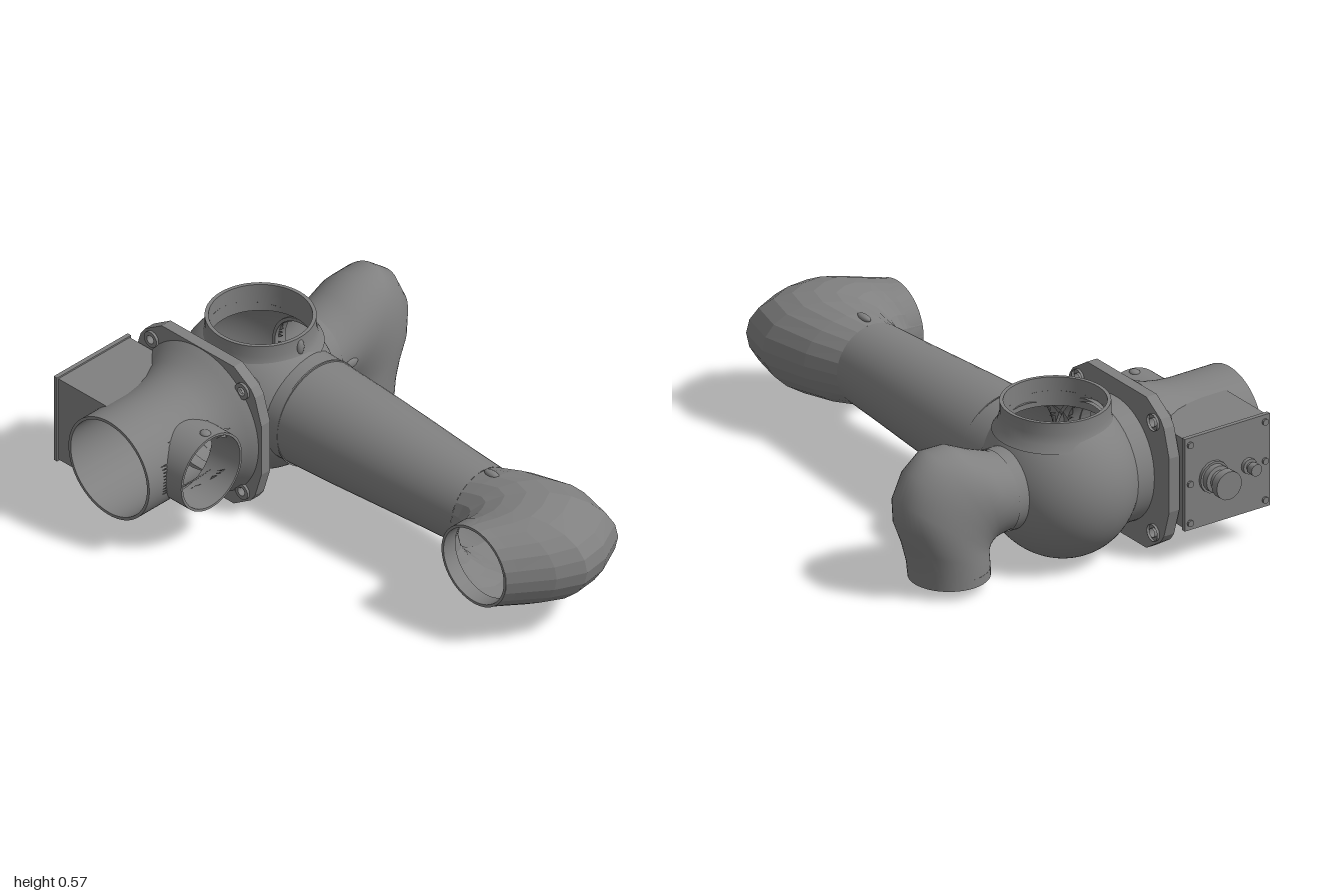
import * as THREE from 'three';
import { toCreasedNormals } from 'three/addons/utils/BufferGeometryUtils.js';

const casing = new THREE.MeshStandardMaterial({ color: 0x808080, side: THREE.DoubleSide });
casing.name = 'casing grey';

const CX = -0.565; // x of the base and shoulder axis
const CY = 0.29; // height of the arm axis

export function createModel() {
  const model = new THREE.Group();
  model.name = 'robotArmCasing';

  const add = (name, geo, x = 0, y = 0, z = 0) => {
    const mesh = new THREE.Mesh(geo, casing);
    mesh.name = name;
    mesh.position.set(x, y, z);
    model.add(mesh);
    return mesh;
  };

  // Turned part from [radius, height] pairs, with its axis along x, y or z
  const turned = (axis, pts, segs = 56) => {
    const geo = new THREE.LatheGeometry(pts.map(p => new THREE.Vector2(...p)), segs);
    if (axis === 'z') geo.rotateX(Math.PI / 2);
    if (axis === 'x') geo.rotateZ(-Math.PI / 2);
    return toCreasedNormals(geo, 0.6);
  };

  // Open pipe with a visible wall
  const pipe = (axis, r, wall, a, b) =>
    turned(axis, [[r, a], [r, b], [r - wall, b], [r - wall, a]]);

  const solid = (axis, r, a, b, segs = 20) =>
    turned(axis, [[0, a], [r, a], [r, b], [0, b]], segs);

  // Remove the triangles whose centre lies inside an opening
  const cut = (geo, inside) => {
    const src = geo.index ? geo.toNonIndexed() : geo;
    const p = src.attributes.position, n = src.attributes.normal;
    const pos = [], nor = [];
    for (let i = 0; i < p.count; i += 3) {
      const mid = [0, 1, 2].map(k => (p.getComponent(i, k) + p.getComponent(i + 1, k) + p.getComponent(i + 2, k)) / 3);
      if (inside(...mid)) continue;
      for (let j = i; j < i + 3; j++) {
        pos.push(p.getX(j), p.getY(j), p.getZ(j));
        nor.push(n.getX(j), n.getY(j), n.getZ(j));
      }
    }
    const out = new THREE.BufferGeometry();
    out.setAttribute('position', new THREE.Float32BufferAttribute(pos, 3));
    out.setAttribute('normal', new THREE.Float32BufferAttribute(nor, 3));
    return out;
  };

  // Loft of elliptical rings: [inner u, inner v, outer u, outer v, half width]
  const loft = (rings, place, segs, faceted = false) => {
    const pos = [], idx = [];
    rings.forEach(([iu, iv, ou, ov, w], r) => {
      for (let s = 0; s < segs; s++) {
        const t = (s / segs) * Math.PI * 2, c = Math.cos(t) / 2;
        pos.push(...place((iu + ou) / 2 + (ou - iu) * c, (iv + ov) / 2 + (ov - iv) * c, w * Math.sin(t)));
        if (r === 0) continue;
        const a = (r - 1) * segs + s, b = (r - 1) * segs + (s + 1) % segs;
        idx.push(a, b, a + segs, b, b + segs, a + segs);
      }
    });
    let geo = new THREE.BufferGeometry();
    geo.setAttribute('position', new THREE.Float32BufferAttribute(pos, 3));
    geo.setIndex(idx);
    if (faceted) geo = geo.toNonIndexed();
    geo.computeVertexNormals();
    return geo;
  };

  // Base: flared pipe, open at the front and into the side port
  add('baseTube', cut(turned('z', [
    [0.18, 0.3], [0.18, 0.685], [0.191, 0.685], [0.191, 0.62], [0.191, 0.56], [0.191, 0.5], [0.196, 0.44],
    [0.207, 0.38], [0.228, 0.32], [0.258, 0.28], [0.278, 0.25],
  ], 96), (x, y, z) => x > 0 && Math.hypot(y, z - 0.458) < 0.135), CX, 0.295);
  add('basePort', pipe('x', 0.145, 0.009, -0.44, -0.305), 0, 0.295, 0.458);

  // Mounting flange with cut corners and bolt holes
  const flange = new THREE.Shape();
  const quarter = [[0.3, 0.1], [0.27, 0.2], [0.25, 0.228], [0.17, 0.28]];
  const outline = [
    ...quarter,
    ...quarter.map(([x, y]) => [-x, y]).reverse(),
    ...quarter.map(([x, y]) => [-x, -y]),
    ...quarter.map(([x, y]) => [x, -y]).reverse(),
  ];
  flange.setFromPoints(outline.map(p => new THREE.Vector2(...p)));
  flange.holes.push(new THREE.Path().absarc(0, 0, 0.215, 0, Math.PI * 2, true));
  for (const sx of [-1, 1]) for (const sy of [-1, 1]) {
    flange.holes.push(new THREE.Path().absarc(sx * 0.215, sy * 0.205, 0.016, 0, Math.PI * 2, true));
    add('flangeBoss', pipe('z', 0.03, 0.014, 0.2, 0.262), -0.575 + sx * 0.215, 0.295 + sy * 0.205);
  }
  add('flange', new THREE.ExtrudeGeometry(flange, { depth: 0.042, bevelEnabled: false, curveSegments: 32 }),
    -0.575, 0.295, 0.21);

  // Connection box, its inner side fitted around the base pipe
  const box = new THREE.Shape();
  box.moveTo(-0.335, -0.165);
  const half = Math.asin(0.165 / 0.188);
  box.lineTo(-0.09, -0.165);
  box.absarc(0, 0, 0.188, Math.PI + half, Math.PI - half, true);
  box.lineTo(-0.335, 0.165);
  add('connectionBox', new THREE.ExtrudeGeometry(box, {
    depth: 0.34, bevelEnabled: false, curveSegments: 24,
  }), CX, 0.295, 0.26);
  add('boxCover', new THREE.BoxGeometry(0.016, 0.342, 0.352), -0.896, 0.295, 0.43);
  for (const y of [0.15, 0.295, 0.44]) for (const z of [0.275, 0.585])
    add('coverScrew', solid('x', 0.012, -0.912, -0.9, 10), 0, y, z);

  // Cable connectors
  add('largeConnector', turned('x', [
    [0, -0.998], [0.052, -0.998], [0.052, -0.968], [0.036, -0.965], [0.036, -0.94],
    [0.05, -0.937], [0.05, -0.915], [0.058, -0.915], [0.058, -0.9],
  ], 16), 0, 0.298, 0.37);
  add('smallConnector', turned('x', [
    [0, -0.955], [0.022, -0.955], [0.022, -0.93], [0.016, -0.93], [0.016, -0.918], [0.028, -0.918], [0.028, -0.9],
  ], 14), 0, 0.298, 0.515);

  // Shoulder: rounded shell opened toward each of its joints
  const shell = new THREE.SphereGeometry(1, 80, 60);
  shell.scale(0.29, 0.285, 0.26);
  add('shoulderShell', cut(shell, (x, y, z) =>
    (y > 0 && Math.hypot(x, z + 0.017) < 0.176) || (x > 0 && Math.hypot(y - 0.005, z + 0.02) < 0.18) ||
    (z > 0 && Math.hypot(x, y) < 0.208) || (z < 0 && Math.hypot(x, y - 0.01) < 0.125)), CX, 0.285, -0.02);
  add('shoulderNeck', pipe('z', 0.225, 0.012, 0.12, 0.225), CX, 0.285);
  add('shoulderPort', turned('y', [
    [0.215, 0.462], [0.196, 0.49], [0.188, 0.522], [0.188, 0.566], [0.175, 0.566], [0.175, 0.46],
  ]), CX, 0, -0.037);
  add('shoulderLip', pipe('z', 0.144, 0.012, -0.286, -0.235), -0.5625, 0.295);

  // Upper arm, tapering toward the elbow
  const alongArm = (u, v, w) => [u, 0.293 + w, v];
  add('upperArm', loft([
    [-0.4, 0.158, -0.4, -0.238, 0.192], [-0.3, 0.155, -0.3, -0.235, 0.188], [-0.1, 0.144, -0.1, -0.224, 0.181],
    [0.1, 0.131, 0.1, -0.211, 0.17], [0.3, 0.119, 0.3, -0.196, 0.158], [0.48, 0.11, 0.48, -0.185, 0.148],
  ], alongArm, 48));
  add('armSeam', pipe('x', 0.1955, 0.006, -0.302, -0.296), 0, CY + 0.002, -0.04);

  // Elbow: faceted bulge turning toward the front, ending in an open port
  add('elbow', loft([
    [0.48, 0.11, 0.48, -0.185, 0.148], [0.51, 0.115, 0.6, -0.235, 0.163], [0.525, 0.123, 0.78, -0.275, 0.177],
    [0.535, 0.132, 0.925, -0.238, 0.179], [0.54, 0.14, 0.985, -0.12, 0.177], [0.545, 0.15, 1.0, -0.015, 0.172],
    [0.548, 0.165, 0.955, 0.085, 0.163], [0.55, 0.195, 0.88, 0.19, 0.155], [0.55, 0.225, 0.855, 0.225, 0.152],
  ], alongArm, 22, true));
  add('elbowPortRim', pipe('z', 0.152, 0.01, 0.17, 0.226), 0.7025, 0.293);

  // Wrist: smooth bend from the back of the shoulder down to an open port
  add('wristElbow', loft([
    [-0.24, 0.155, -0.24, 0.435, 0.14], [-0.285, 0.155, -0.285, 0.435, 0.14], [-0.305, 0.148, -0.38, 0.47, 0.142],
    [-0.32, 0.14, -0.47, 0.512, 0.145], [-0.328, 0.13, -0.565, 0.515, 0.145], [-0.333, 0.12, -0.64, 0.455, 0.145],
    [-0.335, 0.11, -0.685, 0.36, 0.143], [-0.335, 0.1, -0.68, 0.27, 0.142], [-0.335, 0.09, -0.645, 0.18, 0.14],
    [-0.335, 0.065, -0.622, 0.1, 0.14], [-0.335, 0.04, -0.615, 0.04, 0.14],
  ], (u, v, w) => [-0.5625 + w, v, u], 48));
  add('wristPortRim', pipe('y', 0.14, 0.009, 0.039, 0.07), -0.5625, 0, -0.475);

  // Small pin latches beside the joints
  const latch = (x, y, z, sx, sy, sz) => {
    const geo = new THREE.SphereGeometry(1, 14, 10);
    geo.scale(sx, sy, sz);
    add('latch', geo, x, y, z);
  };
  latch(-0.378, 0.525, -0.037, 0.012, 0.03, 0.016);
  latch(-0.422, 0.293, -0.325, 0.01, 0.018, 0.03);
  latch(0.525, 0.45, -0.04, 0.035, 0.012, 0.015);
  latch(-0.335, 0.44, 0.458, 0.02, 0.01, 0.018);

  return model;
}
